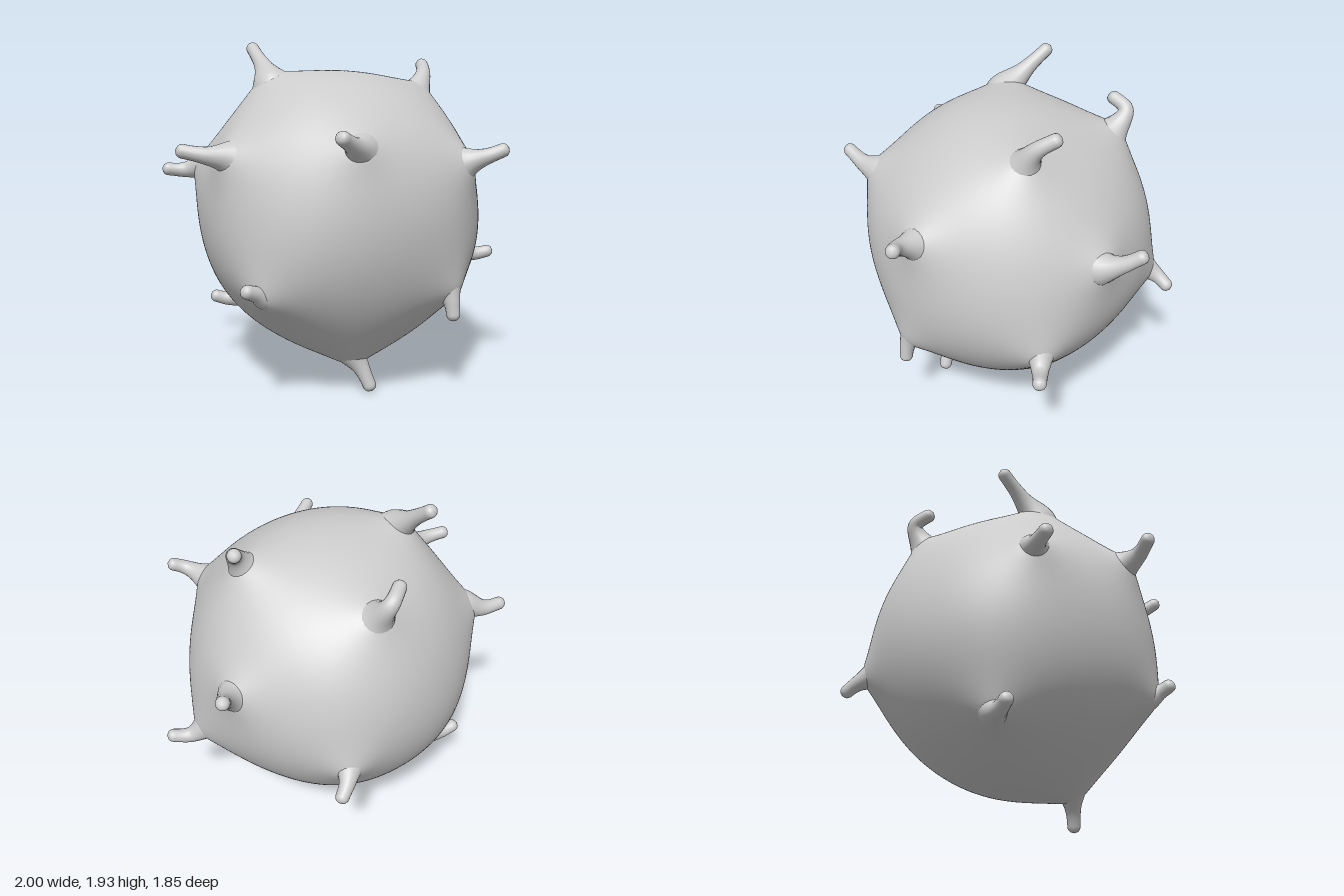
import * as THREE from 'three';
import { mergeVertices } from 'three/addons/utils/BufferGeometryUtils.js';

const CENTER = new THREE.Vector3(-0.01, 0.96, 0.01);
const RADIUS = 0.795;

// Each spike: points from its root on the body to its tip
const SPIKES = [
  [[-0.39, 1.68, -0.02], [-0.42, 1.78, -0.12], [-0.47, 1.91, -0.28]],
  [[0.46, 1.62, -0.03], [0.53, 1.74, -0.08], [0.56, 1.82, -0.2]],
  [[-0.68, 1.3, 0.36], [-0.8, 1.32, 0.39], [-0.95, 1.35, 0.37]],
  [[-0.76, 1.21, -0.22], [-0.87, 1.19, -0.25], [-1.0, 1.2, -0.25]],
  [[0.57, 1.27, 0.54], [0.66, 1.31, 0.61], [0.76, 1.35, 0.63]],
  [[0.68, 1.15, -0.42], [0.74, 1.2, -0.5], [0.78, 1.28, -0.61]],
  [[0.77, 0.69, -0.09], [0.87, 0.64, -0.08], [1.0, 0.66, -0.06]],
  [[0.44, 0.62, 0.56], [0.46, 0.54, 0.61], [0.47, 0.43, 0.63]],
  [[-0.02, 0.22, 0.35], [0.03, 0.12, 0.39], [0.08, 0.0, 0.42]],
  [[-0.53, 0.4, -0.33], [-0.62, 0.38, -0.34], [-0.73, 0.41, -0.34]],
  [[-0.53, 0.61, 0.56], [-0.59, 0.64, 0.61], [-0.66, 0.67, 0.65]],
  [[0.18, 0.79, -0.76], [0.22, 0.75, -0.84], [0.29, 0.69, -0.91]],
  [[-0.04, 1.56, -0.58], [-0.07, 1.67, -0.65], [-0.16, 1.73, -0.57]],
  [[-0.08, 1.35, 0.72], [-0.13, 1.38, 0.81], [-0.23, 1.44, 0.91]],
].map((path) => path.map((p) => new THREE.Vector3(...p)));

const rootDir = (path) => path[0].clone().sub(CENTER).normalize();

// Merge seams so the normals run smoothly
function smooth(geometry) {
  geometry.deleteAttribute('uv');
  geometry.deleteAttribute('normal');
  const merged = mergeVertices(geometry, 1e-4);
  merged.computeVertexNormals();
  return merged;
}

// Sphere pulled outwards into a soft tent under every spike
function bodyGeometry() {
  const dirs = SPIKES.map(rootDir);
  const geometry = new THREE.IcosahedronGeometry(1, 40);
  const pos = geometry.attributes.position;
  const v = new THREE.Vector3();
  for (let i = 0; i < pos.count; i++) {
    v.fromBufferAttribute(pos, i).normalize();
    let r = RADIUS;
    for (const d of dirs) {
      const a = v.angleTo(d);
      r += 0.085 * Math.exp(-(Math.sqrt(a * a + 0.0036) - 0.06) / 0.17);
    }
    // slow undulation keeps the ball slightly irregular
    r += 0.008 * Math.sin(4 * v.x + 1) * Math.sin(5 * v.y) + 0.006 * Math.sin(5 * v.z + 2 * v.x);
    v.multiplyScalar(r).add(CENTER);
    pos.setXYZ(i, v.x, v.y, v.z);
  }
  return smooth(geometry);
}

// Swept spike: flared root sunk in the body, rounded tip
function spikeGeometry(path) {
  const rings = 40, sides = 18;
  const inner = CENTER.clone().addScaledVector(rootDir(path), 0.74);
  const curve = new THREE.CatmullRomCurve3([inner, ...path]);
  const geometry = new THREE.TubeGeometry(curve, rings, 1, sides, false);
  const length = curve.getLength();
  const pos = geometry.attributes.position;
  const v = new THREE.Vector3();
  for (let i = 0; i < pos.count; i++) {
    const t = Math.floor(i / (sides + 1)) / rings;
    const c = curve.getPointAt(t);
    let r = 0.037 + 0.15 * Math.pow(1 - t, 3.2);
    const left = (1 - t) * length;
    if (left < 0.037) r *= Math.sqrt(Math.max(0, 1 - (1 - left / 0.037) ** 2));
    v.fromBufferAttribute(pos, i).sub(c).multiplyScalar(r).add(c);
    pos.setXYZ(i, v.x, v.y, v.z);
  }
  return smooth(geometry);
}

export function createModel() {
  const group = new THREE.Group();
  group.name = 'spikyBall';
  const material = new THREE.MeshStandardMaterial({ color: 0xcccccc });

  const body = new THREE.Mesh(bodyGeometry(), material);
  body.name = 'body';
  group.add(body);

  const spikes = new THREE.Group();
  spikes.name = 'spikes';
  SPIKES.forEach((path, i) => {
    const spike = new THREE.Mesh(spikeGeometry(path), material);
    spike.name = `spike${i + 1}`;
    spikes.add(spike);
  });
  group.add(spikes);
  return group;
}
